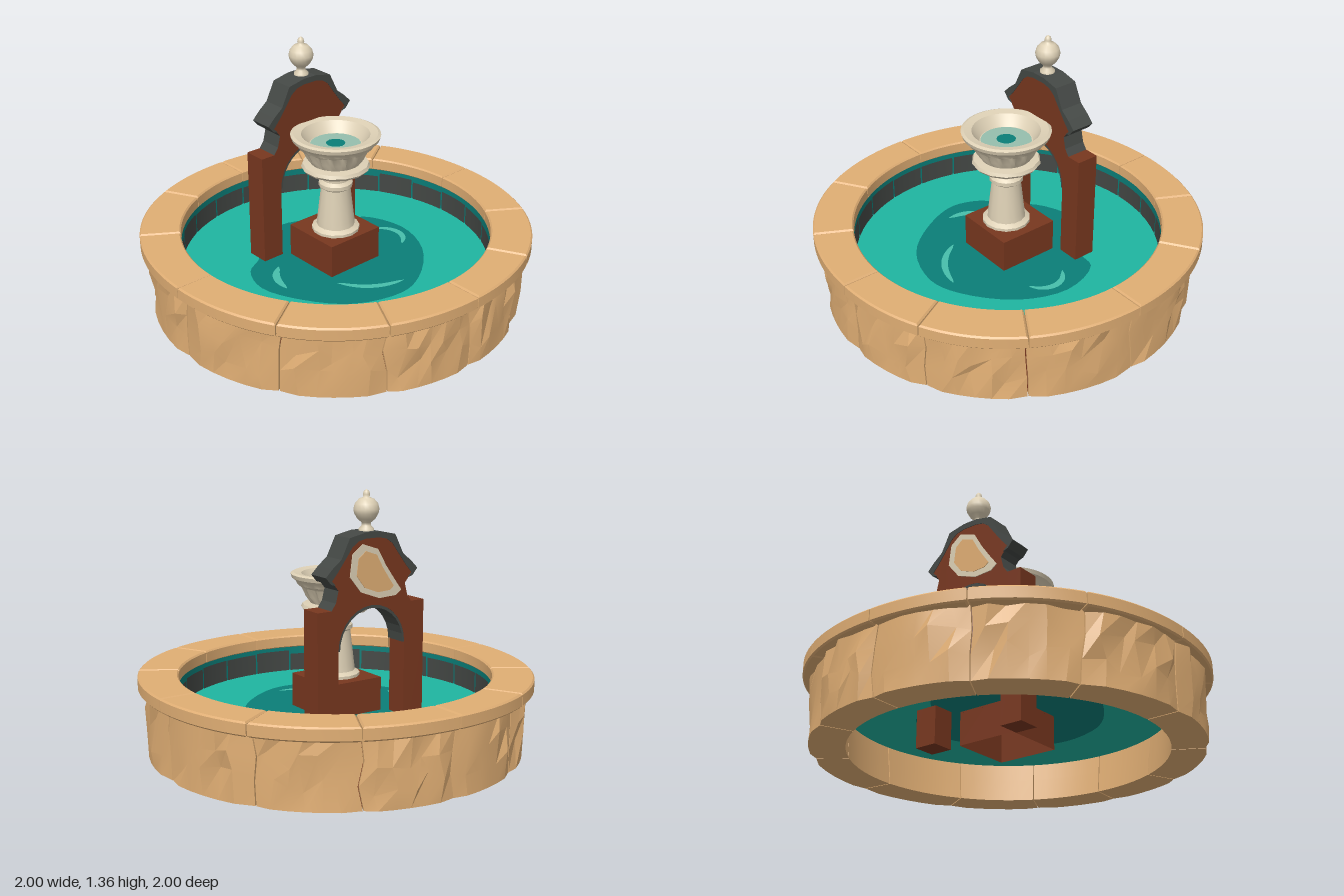
import * as THREE from 'three';
import { toCreasedNormals } from 'three/addons/utils/BufferGeometryUtils.js';

const mat = (name, color, side = THREE.FrontSide) => {
  const m = new THREE.MeshStandardMaterial({ color, side });
  m.name = name;
  return m;
};

export function createModel() {
  const root = new THREE.Group();
  const both = THREE.DoubleSide;
  const sandstone = mat('sandstone', 0xe0ae74);
  const brick = mat('brick', 0x78371f, both);
  const slate = mat('slate', 0x444845, both);
  const cream = mat('cream stone', 0xddd0b5);
  const teal = mat('water', 0x1fb5a0, both);
  const deepTeal = mat('deep water', 0x0a7e78, both);
  const highlight = mat('water highlight', 0x48bfab);
  const bowlTeal = mat('bowl water', 0x96bfad);

  const add = (name, geo, material, x = 0, y = 0, z = 0, parent = root) => {
    const mesh = new THREE.Mesh(geo, material);
    mesh.name = name;
    mesh.position.set(x, y, z);
    parent.add(mesh);
    return mesh;
  };
  const group = (name) => {
    const g = new THREE.Group();
    g.name = name;
    root.add(g);
    return g;
  };
  const v2 = (pts) => pts.map(([x, y]) => new THREE.Vector2(x, y));
  const lathe = (pts, n) => new THREE.LatheGeometry(v2(pts), n);
  const hash = (a, b, c) => {
    const s = Math.sin(a * 127.1 + b * 311.7 + c * 74.7) * 43758.5453;
    return s - Math.floor(s);
  };

  // Seams between stones, in degrees round the basin
  const seams = [];
  for (const q of [0, 90, 180, 270]) {
    const flip = q % 180 !== 0;
    seams.push(q, q + (flip ? 33 : 27.7), q + (flip ? 62.3 : 57));
  }
  seams.push(360);
  const seam = (k) => THREE.MathUtils.degToRad(seams[k]);

  // Rough wall stones: boxes bent round the basin, chipped on the outer face
  const wall = group('basinWall');
  const COLS = 6, ROWS = 3;
  for (let k = 0; k < 12; k++) {
    const geo = new THREE.BoxGeometry(1, 1, 1, COLS, ROWS, 1);
    const p = geo.attributes.position;
    for (let i = 0; i < p.count; i++) {
      const u = p.getX(i), t = p.getY(i) + 0.5, outer = p.getZ(i) > 0;
      const row = Math.round(t * ROWS), col = Math.round((u + 0.5) * COLS);
      const edge = Math.abs(u) > 0.49, inside = row > 0 && row < ROWS;
      let a = THREE.MathUtils.lerp(seam(k), seam(k + 1), 0.5 + u * 0.988);
      let r = 0.79 + 0.04 * t;
      let y = 0.01 + 0.35 * t;
      if (outer) {
        r = row === 0 ? 0.968 : 0.952 + 0.034 * hash(k, row, col);
        if (edge) {
          r = 0.952;
          a += (hash((k + (u > 0 ? 1 : 0)) % 12, row, 9) - 0.5) * 0.035;
        } else if (inside) a += (hash(col, k, row) - 0.5) * 0.06;
        if (inside && !edge) y += (hash(row, col, k) - 0.5) * 0.1;
      }
      p.setXYZ(i, r * Math.sin(a), y, r * Math.cos(a));
    }
    add('wallStone', toCreasedNormals(geo, 0.25), sandstone, 0, 0, 0, wall);
  }
  add('mortar', new THREE.CylinderGeometry(0.93, 0.93, 0.33, 48, 1, true), brick, 0, 0.185, 0, wall);

  // Rim of twelve bevelled capstones, bulging slightly on the diagonals
  const rim = group('basinRim');
  for (let k = 0; k < 12; k++) {
    const a0 = seam(k) - Math.PI / 2 + 0.0105, a1 = seam(k + 1) - Math.PI / 2 - 0.0105;
    const s = new THREE.Shape();
    s.absarc(0, 0, 0.992, a0, a1, false);
    s.absarc(0, 0, 0.814, a1 - 0.002, a0 + 0.002, true);
    const geo = new THREE.ExtrudeGeometry(s, {
      depth: 0.054, curveSegments: 5, bevelSize: 0.008, bevelThickness: 0.008, bevelSegments: 1,
    });
    geo.rotateX(-Math.PI / 2);
    const p = geo.attributes.position;
    for (let i = 0; i < p.count; i++) {
      const x = p.getX(i), z = p.getZ(i);
      if (Math.hypot(x, z) < 0.9) continue;
      const f = 1 + 0.019 * Math.sin(2 * Math.atan2(x, z)) ** 2;
      p.setXYZ(i, x * f, p.getY(i), z * f);
    }
    add('capstone', toCreasedNormals(geo, 0.5), sandstone, 0, 0.358, 0, rim);
  }

  // Damp lining on the inner wall with dark blocks below it
  const WATER = 0.215;
  const lining = group('innerLining');
  add('dampBand', new THREE.CylinderGeometry(0.812, 0.812, 0.14, 48, 1, true), deepTeal, 0, 0.285, 0, lining);
  for (let k = 0; k < 24; k++) {
    const h = 0.095 + 0.025 * hash(k, 1, 2);
    add('darkBlock', new THREE.CylinderGeometry(0.806, 0.806, h, 3, 1, true,
      k * Math.PI / 12 + 0.006, Math.PI / 12 - 0.012), slate, 0, WATER + h / 2, 0, lining);
  }

  // Water with a deep pool outline let into it
  const pool = new THREE.CatmullRomCurve3([
    [0, 0.46], [0.17, 0.39], [0.28, 0.26], [0.41, 0.23], [0.49, 0], [0.4, -0.25], [0.17, -0.45],
    [0, -0.5], [-0.25, -0.42], [-0.42, -0.22], [-0.5, 0], [-0.44, 0.17], [-0.33, 0.24], [-0.22, 0.38],
  ].map(([x, y]) => new THREE.Vector3(x, y, 0)), true);
  const outline = pool.getPoints(56).slice(0, 56).map((p) => new THREE.Vector2(p.x, p.y));
  const surface = new THREE.Shape().absarc(0, 0, 0.815, 0, Math.PI * 2);
  surface.holes.push(new THREE.Path(outline));
  const flat = (shape, n = 12) => new THREE.ShapeGeometry(shape, n).rotateX(-Math.PI / 2);
  add('water', flat(surface, 36), teal, 0, WATER, 0);
  add('deepPool', flat(new THREE.Shape(outline)), deepTeal, 0, WATER, 0);

  // Crescent ripples: [centre x, centre z, radius, start, end, width]
  for (const [cx, cz, r, a0, a1, w] of [
    [-0.27, 0.04, 0.15, 1.8, 3.5, 0.04], [0.07, 0.16, 0.265, 3.37, 4.8, 0.035],
    [0.33, 0.03, 0.115, -1.4, 1.4, 0.035], [0.06, -0.17, 0.2, 0.5, 1.3, 0.03],
  ]) {
    const pts = [];
    for (let i = 0; i <= 12; i++) {
      const a = a0 + (a1 - a0) * i / 12;
      pts.push([r * Math.cos(a), r * Math.sin(a)]);
    }
    for (let i = 11; i > 0; i--) {
      const a = a0 + (a1 - a0) * i / 12, q = r - w * Math.sqrt(Math.sin(Math.PI * i / 12));
      pts.push([q * Math.cos(a), q * Math.sin(a)]);
    }
    add('ripple', flat(new THREE.Shape(v2(pts))), highlight, cx, WATER + 0.004, cz);
  }

  // Plinth, hollow underneath, and pedestal
  const plinth = new THREE.CylinderGeometry(0.233, 0.233, 0.35, 4, 1, true).rotateY(Math.PI / 4);
  add('plinth', toCreasedNormals(plinth, 0.5), brick, 0, 0.215, -0.01);
  for (const y of [0.39, WATER - 0.008]) {
    add('plinthSlab', new THREE.PlaneGeometry(0.33, 0.33).rotateX(-Math.PI / 2), brick, 0, y, -0.01);
  }
  const pedestal = lathe([[0, 0.385], [0.125, 0.385], [0.125, 0.405], [0.1, 0.42], [0.097, 0.45],
    [0.076, 0.63], [0.088, 0.64], [0.088, 0.66], [0.07, 0.675], [0.07, 0.7], [0.1, 0.715],
    [0.165, 0.735], [0.178, 0.75], [0.17, 0.767], [0.1, 0.775], [0.1, 0.79]], 14);
  add('pedestal', toCreasedNormals(pedestal, 0.5), cream, -0.005, 0, 0.005);

  // Fluted bowl
  const bowl = lathe([[0.09, 0.77], [0.13, 0.775], [0.15, 0.81], [0.17, 0.855], [0.195, 0.87],
    [0.205, 0.89], [0.224, 0.905], [0.23, 0.925], [0.215, 0.932], [0.175, 0.925], [0.155, 0.895],
    [0.135, 0.868], [0, 0.862]], 48);
  const bp = bowl.attributes.position;
  for (let i = 0; i < bp.count; i++) {
    const x = bp.getX(i), y = bp.getY(i), z = bp.getZ(i);
    if (y < 0.775 || y > 0.86 || Math.hypot(x, z) < 0.12) continue;
    const f = 1 + 0.035 * Math.cos(16 * Math.atan2(x, z));
    bp.setXYZ(i, x * f, y, z * f);
  }
  add('bowl', toCreasedNormals(bowl, 0.6), cream, -0.005, 0, 0.005);
  add('bowlWater', new THREE.CircleGeometry(0.13, 24).rotateX(-Math.PI / 2), bowlTeal, -0.005, 0.87, 0.005);
  add('bowlDeepWater', new THREE.CircleGeometry(0.05, 12).rotateX(-Math.PI / 2), deepTeal, -0.005, 0.874, 0.005);

  // Arch: brick piers, gable with slate edges, slate coping
  const arch = group('arch');
  arch.position.z = -0.26;
  for (const s of [-1, 1]) {
    add('pier', new THREE.BoxGeometry(0.12, 0.58, 0.12), brick, s * 0.26, 0.31, 0, arch);
    add('shoulder', new THREE.BoxGeometry(0.08, 0.205, 0.12), brick, s * 0.28, 0.7025, 0, arch);
  }
  const mirror = (half) => [...half, ...half.slice().reverse().map(([x, y]) => [-x, y])];
  const extrude = (pts, depth) => new THREE.ExtrudeGeometry(new THREE.Shape(v2(pts)),
    { depth, bevelEnabled: false }).translate(0, 0, -depth / 2);
  const arc = (rx, ry) => Array.from({ length: 15 }, (_, i) => {
    const a = Math.PI * (1 - i / 14);
    return [rx * Math.cos(a), 0.6 + ry * Math.sin(a)];
  });
  const intrados = arc(0.2, 0.21);
  const gableEdge = [[0.24, 0.95], [0.205, 0.99], [0.16, 1.05], [0.12, 1.105], [0.085, 1.13], [0.04, 1.14]];
  const body = [...mirror([[0.24, 0.6], [0.24, 0.805], [0.215, 0.84], [0.2, 0.9], ...gableEdge]), ...intrados];
  add('gable', extrude(body, 0.12), [brick, slate], 0, 0, 0, arch);
  add('archLining', extrude([...intrados, ...arc(0.19, 0.195).reverse()], 0.118), slate, 0, 0, 0, arch);
  const coping = [...mirror([[0.215, 0.925], [0.245, 0.935], [0.275, 0.97], [0.235, 1.01], [0.185, 1.05],
    [0.165, 1.09], [0.135, 1.15], [0.04, 1.17]]),
    ...mirror(gableEdge.map(([x, y]) => [-x, y]))];
  add('coping', extrude(coping, 0.126), slate, 0, 0, 0, arch);

  // Worn plaster patch on the back of the gable
  const patch = [[0.12, 1.07], [0.06, 1.115], [-0.03, 1.085], [-0.08, 1.0], [-0.13, 0.93], [-0.175, 0.87],
    [-0.14, 0.845], [-0.04, 0.84], [0.07, 0.88], [0.135, 0.96]];
  add('plasterPatch', extrude(patch, 0.006), cream, 0, 0, -0.061, arch);
  add('bareStone', extrude(patch.map(([x, y]) => [x * 0.72, 0.97 + (y - 0.97) * 0.76]), 0.006),
    sandstone, 0, 0, -0.064, arch);

  // Finial
  add('finial', lathe([[0.038, 1.16], [0.038, 1.18], [0.022, 1.195], [0.024, 1.21], [0.045, 1.228],
    [0.06, 1.255], [0.064, 1.275], [0.057, 1.302], [0.037, 1.325], [0.015, 1.333], [0.018, 1.345],
    [0.014, 1.36], [0, 1.372]], 18), cream, -0.005, 0, 0, arch);

  return root;
}
